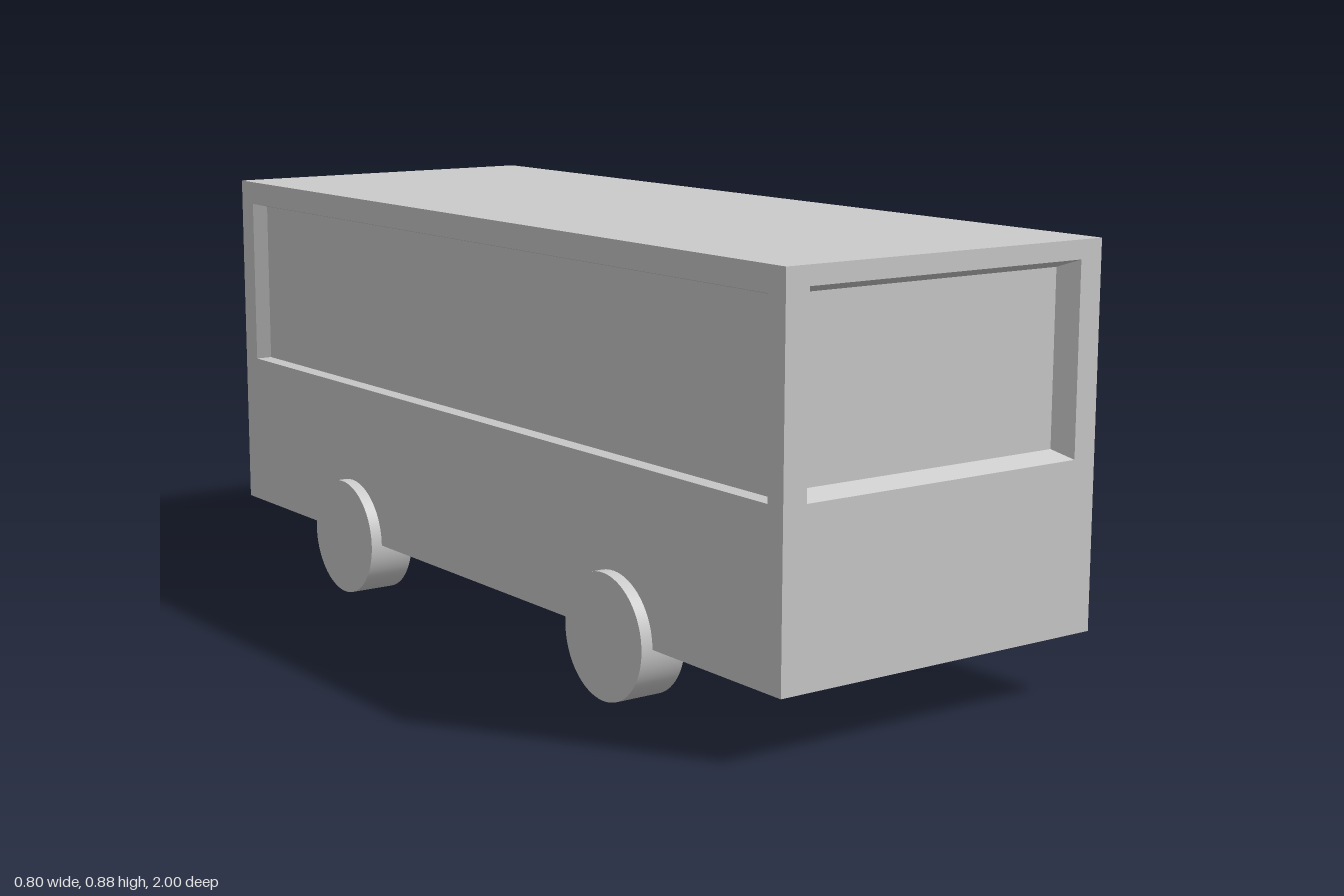
import * as THREE from 'three';

const grey = new THREE.MeshStandardMaterial({ color: 0xcccccc });
const HALF_W = 0.375, HALF_L = 1, FLOOR = 0.125, ROOF = 0.875;

// Rectangle as a counter-clockwise loop of corners at depth z
function loop(x0, x1, y0, y1, z) {
  return [[x0, y0, z], [x1, y0, z], [x1, y1, z], [x0, y1, z]];
}

// Wall facing +z: nested loops run from the wall outline to the recessed pane
function wallGeometry(loops) {
  const pos = [];
  const quad = (a, b, c, d) => pos.push(...a, ...b, ...c, ...a, ...c, ...d);
  for (let i = 0; i < loops.length - 1; i++) {
    const outer = loops[i], inner = loops[i + 1];
    for (let k = 0; k < 4; k++) {
      const n = (k + 1) % 4;
      quad(outer[k], outer[n], inner[n], inner[k]);
    }
  }
  quad(...loops[loops.length - 1]);
  const g = new THREE.BufferGeometry();
  g.setAttribute('position', new THREE.Float32BufferAttribute(pos, 3));
  g.computeVertexNormals();
  return g;
}

export function createModel() {
  const model = new THREE.Group();
  model.name = 'bus';
  const add = (name, geometry) => {
    const mesh = new THREE.Mesh(geometry, grey);
    mesh.name = name;
    model.add(mesh);
    return mesh;
  };

  // Walls with bevelled window recesses
  const endWall = wallGeometry([
    loop(-HALF_W, HALF_W, FLOOR, ROOF, HALF_L),
    loop(-0.323, 0.323, 0.463, 0.838, HALF_L),
    loop(-0.295, 0.295, 0.481, 0.823, HALF_L - 0.035),
  ]);
  const sideWall = wallGeometry([
    loop(-HALF_L, HALF_L, FLOOR, ROOF, HALF_W),
    loop(-0.947, 0.957, 0.462, 0.825, HALF_W),
    loop(-0.925, 0.937, 0.466, 0.819, HALF_W - 0.025),
  ]);
  add('frontWall', endWall);
  add('backWall', endWall).rotation.y = Math.PI;
  add('leftWall', sideWall).rotation.y = Math.PI / 2;
  add('rightWall', sideWall).rotation.y = -Math.PI / 2;

  // Roof and floor
  const slab = new THREE.PlaneGeometry(HALF_W * 2, HALF_L * 2);
  const roof = add('roof', slab);
  roof.rotation.x = -Math.PI / 2;
  roof.position.y = ROOF;
  const floor = add('floor', slab);
  floor.rotation.x = Math.PI / 2;
  floor.position.y = FLOOR;

  // Wheels
  const wheel = new THREE.CylinderGeometry(0.125, 0.125, 0.1, 64).rotateZ(Math.PI / 2);
  for (const [side, x] of [['Left', 0.35], ['Right', -0.35]]) {
    for (const [end, z] of [['front', 0.5], ['back', -0.5]]) {
      add(`${end}${side}Wheel`, wheel).position.set(x, 0.125, z);
    }
  }
  return model;
}
